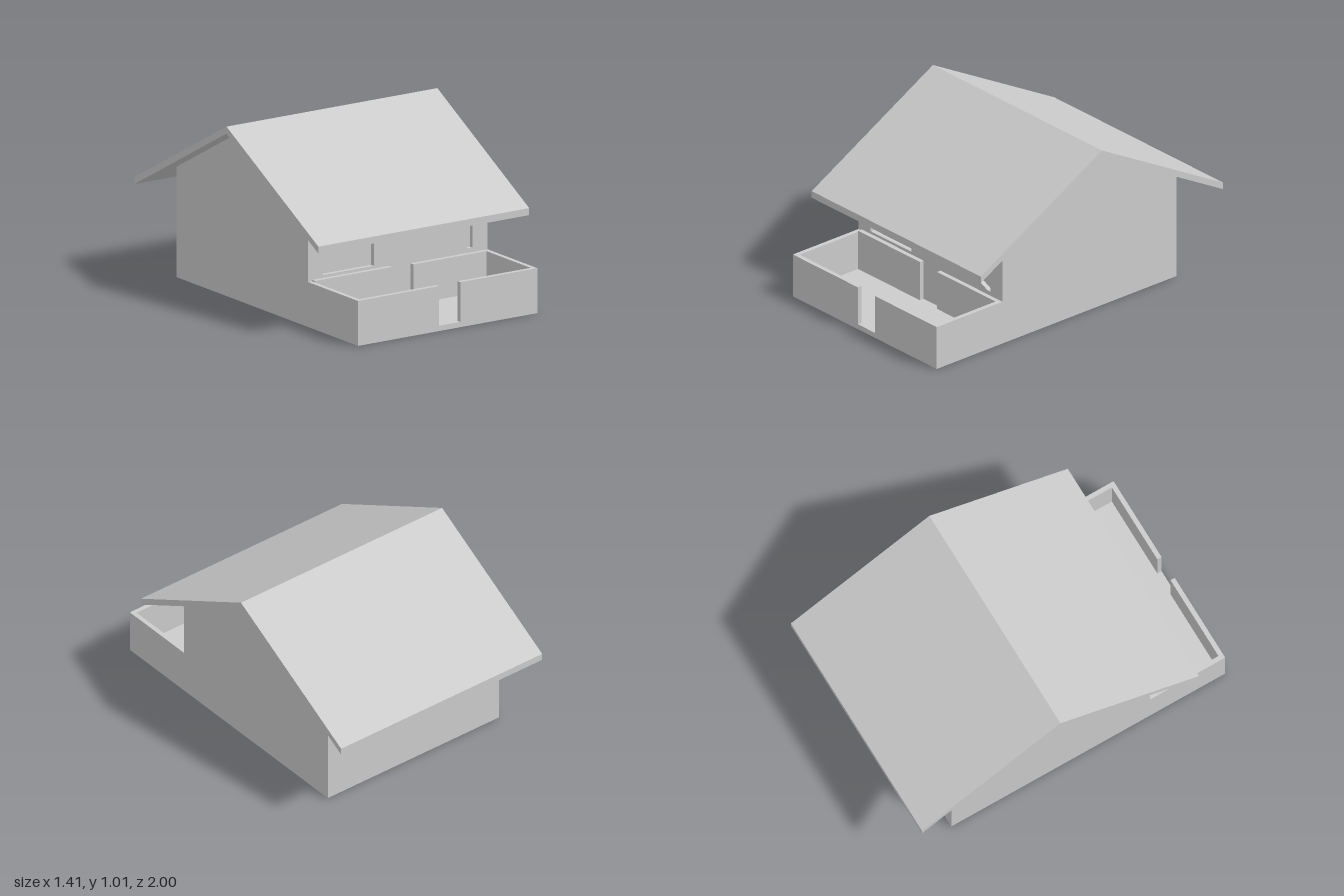
import * as THREE from 'three';

const material = new THREE.MeshStandardMaterial({ color: 0xcccccc, flatShading: true });

const shapeOf = (points) => new THREE.Shape(points.map(([x, y]) => new THREE.Vector2(x, y)));

export function createModel() {
  const model = new THREE.Group();
  const add = (name, geometry) => {
    const mesh = new THREE.Mesh(geometry, material);
    mesh.name = name;
    model.add(mesh);
  };
  // Box given by its limits on each axis
  const addBox = (name, [x0, x1], [y0, y1], [z0, z1]) => {
    const geometry = new THREE.BoxGeometry(x1 - x0, y1 - y0, z1 - z0);
    add(name, geometry.translate((x0 + x1) / 2, (y0 + y1) / 2, (z0 + z1) / 2));
  };
  // Side profile of [z, y] points, extruded across the width
  const addProfile = (name, points, width) => {
    const geometry = new THREE.ExtrudeGeometry(shapeOf(points), { depth: width, bevelEnabled: false });
    add(name, geometry.translate(0, 0, -width / 2).rotateY(-Math.PI / 2));
  };

  const half = 0.6, wall = 0.027, front = 0.52, back = -0.75, ridge = -0.115;
  const floorTop = 0.03, porchTop = 0.256, gap = [-0.057, 0.085];

  // Gabled house body, stopping behind the window recesses
  addProfile('houseBody', [
    [back, 0], [front - wall, 0], [front - wall, 0.642], [ridge, 0.975], [back, 0.627],
  ], half * 2);

  // Front wall with two window openings, the right one cut off diagonally
  const facade = shapeOf([[-half, 0], [half, 0], [half, 0.627], [-half, 0.627]]);
  facade.holes.push(
    shapeOf([[-0.5, 0.28], [-0.5, 0.465], [-0.16, 0.465], [-0.16, 0.28]]),
    shapeOf([[0.19, 0.41], [0.19, 0.465], [0.5, 0.465], [0.5, 0.28], [0.475, 0.28]]),
  );
  add('frontWall', new THREE.ExtrudeGeometry(facade, { depth: wall, bevelEnabled: false })
    .translate(0, 0, front - wall));

  // Pitched roof with overhanging eaves
  addProfile('roof', [
    [-1, 0.49], [ridge, 0.975], [0.77, 0.49], [0.77, 0.53], [ridge, 1.015], [-1, 0.53],
  ], 1.41);

  // Porch floor and low walls, with an entrance gap front and back
  addBox('porchFloor', [-half, half], [0, floorTop], [front, 1]);
  for (const [side, x0, x1] of [['right', -half, -half + wall], ['left', half - wall, half]]) {
    addBox(side + 'PorchWall', [x0, x1], [floorTop, porchTop], [front, 1]);
  }
  for (const [side, x0, x1] of [['right', -half + wall, gap[0]], ['left', gap[1], half - wall]]) {
    addBox(side + 'PorchFrontWall', [x0, x1], [floorTop, porchTop], [1 - wall, 1]);
    const rearTop = side === 'right' ? 0.264 : porchTop;
    addBox(side + 'PorchRearWall', [x0, x1], [floorTop, rearTop], [front, front + wall]);
  }
  return model;
}
